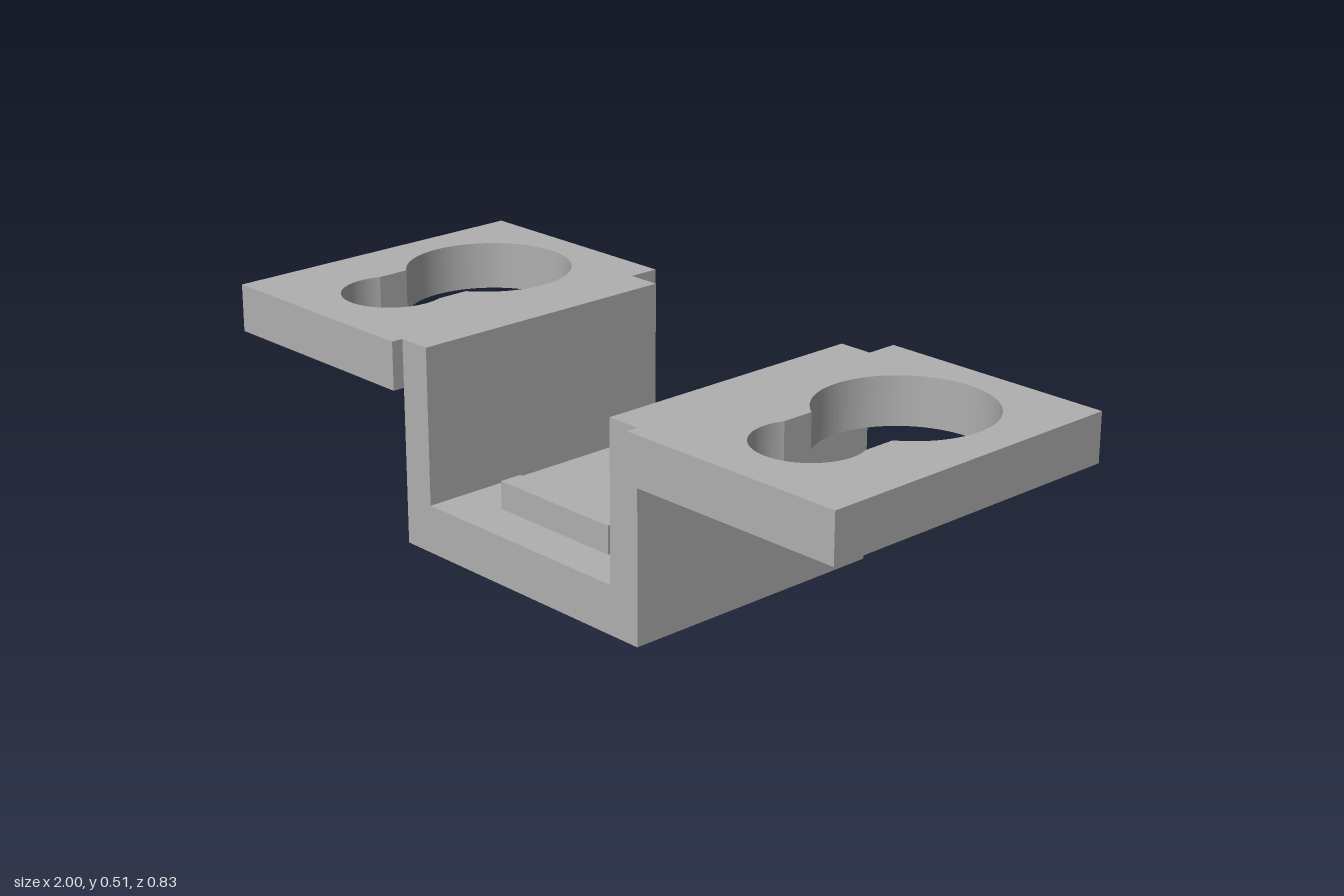
import * as THREE from 'three';

const metal = new THREE.MeshStandardMaterial({ color: 0xb0b0b0 });
metal.name = 'grey metal';

function addPart(group, name, geometry) {
  const mesh = new THREE.Mesh(geometry, metal);
  mesh.name = name;
  group.add(mesh);
  return mesh;
}

// Box given by its minimum and maximum corners
function boxBetween([x0, y0, z0], [x1, y1, z1]) {
  return new THREE.BoxGeometry(x1 - x0, y1 - y0, z1 - z0)
    .translate((x0 + x1) / 2, (y0 + y1) / 2, (z0 + z1) / 2);
}

// Keyhole outline: large circle at the back, straight neck, small circle at the front
function keyhole(cx) {
  const bigR = 0.207, smallR = 0.127, neck = 0.117;
  const bigY = 0.125, smallY = -0.178;
  const a = Math.acos(neck / bigR), b = Math.acos(neck / smallR);
  const path = new THREE.Path();
  path.absarc(cx, bigY, bigR, -a, Math.PI + a, false);
  path.absarc(cx, smallY, smallR, Math.PI - b, Math.PI * 2 + b, false);
  path.closePath();
  return path;
}

// Mounting plate with a keyhole, lying flat between x0 and x1
function flangeGeometry(x0, x1, holeX) {
  const z = 0.415;
  const shape = new THREE.Shape([
    new THREE.Vector2(x0, -z), new THREE.Vector2(x1, -z),
    new THREE.Vector2(x1, z), new THREE.Vector2(x0, z),
  ]);
  shape.holes.push(keyhole(holeX));
  return new THREE.ExtrudeGeometry(shape, { depth: 0.12, bevelEnabled: false, curveSegments: 40 })
    .rotateX(-Math.PI / 2)
    .translate(0, 0.39, 0);
}

export function createModel() {
  const group = new THREE.Group();
  group.name = 'mountingBracket';

  // U-shaped channel, slightly off centre from front to back
  const section = new THREE.Shape([
    [-0.402, 0], [0.398, 0], [0.398, 0.51], [0.311, 0.51],
    [0.311, 0.12], [-0.315, 0.12], [-0.315, 0.51], [-0.402, 0.51],
  ].map(([x, y]) => new THREE.Vector2(x, y)));
  addPart(group, 'channel',
    new THREE.ExtrudeGeometry(section, { depth: 0.72, bevelEnabled: false }).translate(0, 0, -0.335));

  // Side flanges
  addPart(group, 'leftFlange', flangeGeometry(0.398, 1, 0.698));
  addPart(group, 'rightFlange', flangeGeometry(-1, -0.402, -0.702));

  // Locating ribs on the channel floor
  addPart(group, 'frontRib', boxBetween([-0.187, 0.12, 0.218], [0.183, 0.19, 0.276]));
  addPart(group, 'backRib', boxBetween([-0.187, 0.12, -0.236], [0.183, 0.19, -0.178]));

  return group;
}
